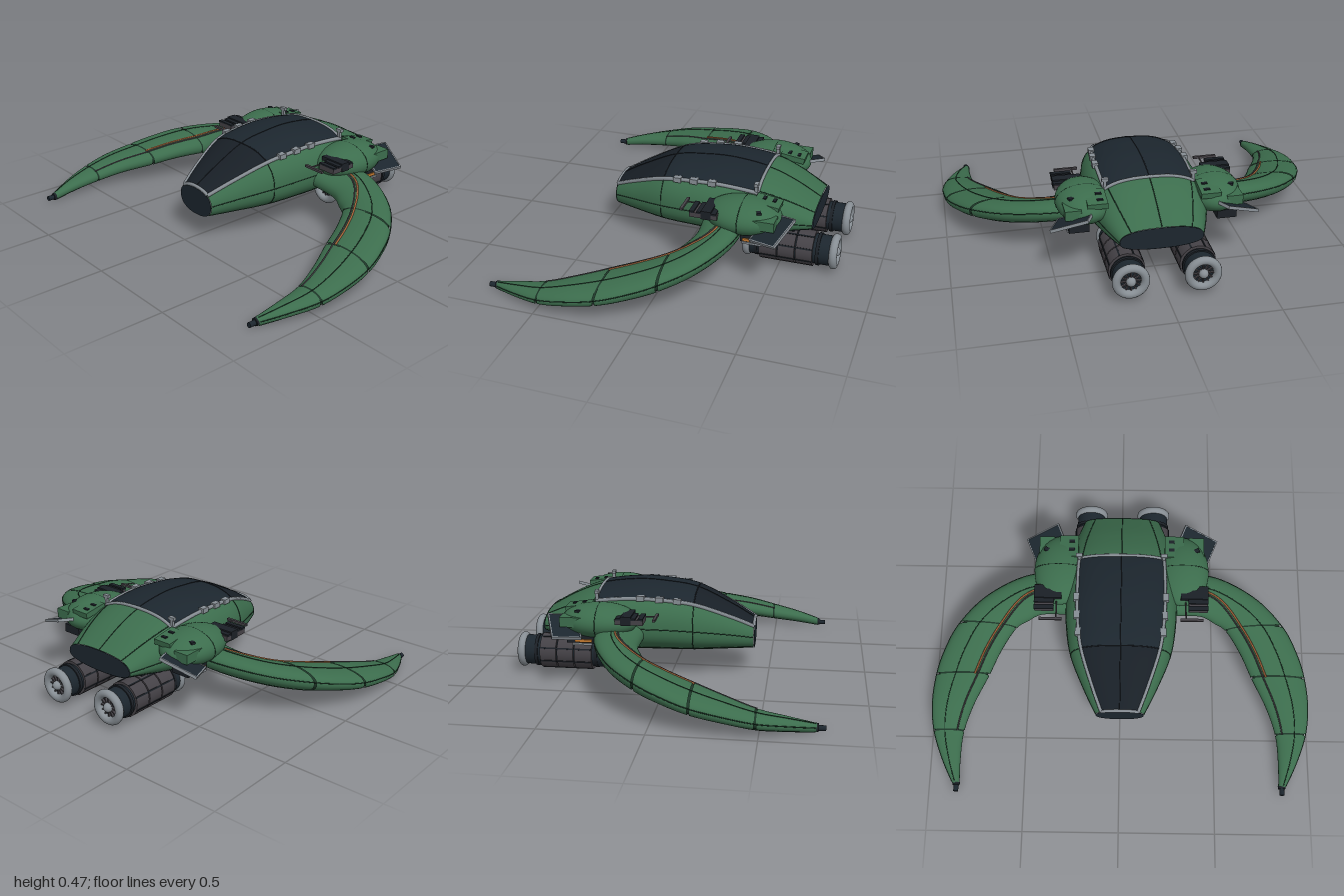
import * as THREE from 'three';
import { ParametricGeometry } from 'three/addons/geometries/ParametricGeometry.js';

const mat = (name, color, side = THREE.FrontSide) => {
  const m = new THREE.MeshStandardMaterial({ color, side });
  m.name = name;
  return m;
};
const M = {
  green: mat('hull green', 0x3c6d4d),
  line: mat('seam dark green', 0x1c3527),
  glass: mat('canopy glass', 0x1c262e, THREE.DoubleSide),
  frontGlass: mat('windscreen glass', 0x181f26, THREE.DoubleSide),
  grey: mat('frame grey', 0x878e94),
  black: mat('mechanical black', 0x1b2026),
  brown: mat('engine brown grey', 0x454247),
  orange: mat('conduit orange', 0xc47a30),
  copper: mat('stripe copper', 0xa0623a),
};

// Catmull-Rom sampling of a table of stations, t in 0..1
function sample(table, t) {
  const n = table.length - 1, f = Math.min(Math.max(t, 0), 1) * n;
  const i = Math.min(Math.floor(f), n - 1), u = f - i;
  const at = (k) => table[Math.min(Math.max(k, 0), n)];
  return table[0].map((_, c) => {
    const a = at(i - 1)[c], b = at(i)[c], d = at(i + 1)[c], e = at(i + 2)[c];
    return b + 0.5 * u * (d - a + u * (2 * a - 5 * b + 4 * d - e + u * (3 * (b - d) + e - a)));
  });
}
const spow = (v, p) => Math.sign(v) * Math.abs(v) ** p;
const lerp = THREE.MathUtils.lerp;

// Hull stations: z, half width, top, widest height, bottom
const HULL = [
  [0.42, 0.125, 0.28, 0.205, 0.13], [0.3, 0.187, 0.35, 0.23, 0.128],
  [0.12, 0.262, 0.435, 0.255, 0.125], [-0.05, 0.29, 0.462, 0.265, 0.125],
  [-0.2, 0.295, 0.467, 0.265, 0.125], [-0.38, 0.288, 0.443, 0.265, 0.14],
  [-0.52, 0.255, 0.392, 0.26, 0.175], [-0.66, 0.205, 0.315, 0.25, 0.205],
];
// Rounder at nose and belly, squarer over the shoulders
function hullPoint(t, a, off = 0) {
  const [z, w, top, mid, bot] = sample(HULL, t), s = Math.sin(a);
  const p = s > 0 ? lerp(0.86, 0.78, THREE.MathUtils.smoothstep(t, 0, 0.35)) : 0.86;
  return new THREE.Vector3((w + off) * spow(Math.cos(a), p),
    mid + ((s > 0 ? top - mid : mid - bot) + off) * spow(s, p), z);
}

// Wing stations: outer x, outer z, inner x, inner z, outer y, inner y, half thickness
const WING = [
  [0.26, -0.35, 0.26, -0.12, 0.27, 0.25, 0.06], [0.5, -0.335, 0.42, -0.13, 0.262, 0.225, 0.06],
  [0.72, -0.23, 0.5, -0.1, 0.228, 0.2, 0.06], [0.87, -0.08, 0.565, -0.06, 0.19, 0.185, 0.06],
  [0.945, 0.06, 0.64, 0.06, 0.155, 0.162, 0.056], [0.985, 0.19, 0.7, 0.19, 0.125, 0.135, 0.052],
  [1.0, 0.34, 0.775, 0.34, 0.1, 0.105, 0.046], [0.985, 0.485, 0.825, 0.485, 0.072, 0.072, 0.039],
  [0.935, 0.63, 0.838, 0.63, 0.05, 0.05, 0.03], [0.875, 0.755, 0.838, 0.755, 0.028, 0.028, 0.02],
];
function wingPoint(t, a, side, k = 1) {
  const [ox, oz, ix, iz, oy, iy, h] = sample(WING, t);
  const f = 0.5 + 0.5 * k * Math.cos(a);
  return new THREE.Vector3(side * lerp(ix, ox, f),
    lerp(iy, oy, f) + k * h * spow(Math.sin(a), 0.85), lerp(iz, oz, f));
}

export function createModel() {
  const model = new THREE.Group();
  const add = (name, geo, material, x = 0, y = 0, z = 0) => {
    const m = new THREE.Mesh(geo, material);
    m.name = name;
    m.position.set(x, y, z);
    model.add(m);
    return m;
  };
  const box = (name, w, h, d, material, x, y, z) => add(name, new THREE.BoxGeometry(w, h, d), material, x, y, z);
  const cyl = (name, r0, r1, len, material, x, y, z, seg = 24) =>
    add(name, new THREE.CylinderGeometry(r0, r1, len, seg).rotateX(Math.PI / 2), material, x, y, z);
  const surface = (name, f, nu, nv, material) =>
    add(name, new ParametricGeometry((u, v, p) => p.copy(f(u, v)), nu, nv), material);
  // Tube along a surface rule f(0..1)
  const strip = (name, f, r, material, n = 24) => {
    const pts = Array.from({ length: n + 1 }, (_, i) => f(i / n));
    return add(name, new THREE.TubeGeometry(new THREE.CatmullRomCurve3(pts), n * 2, r, 6), material);
  };
  const hullPatch = (name, t0, t1, a0, a1, off, material, nu = 24, nv = 28) =>
    surface(name, (u, v) => hullPoint(lerp(t0, t1, v), lerp(a0, a1, u), off), nu, nv, material);

  // Hull shell with flat end caps
  hullPatch('hull', 0, 1, 1.5 * Math.PI, -0.5 * Math.PI, 0, M.green, 64, 48);
  for (const [name, t, dz] of [['noseWindow', 0, 0.003], ['rearCap', 1, -0.003]]) {
    const pts = Array.from({ length: 48 }, (_, i) => {
      const p = hullPoint(t, i * Math.PI / 24);
      return new THREE.Vector2(p.x, p.y);
    });
    add(name, new THREE.ShapeGeometry(new THREE.Shape(pts)), M.glass, 0, 0, HULL[t * 7][0] + dz);
  }
  hullPatch('rearUnderside', 0.8, 1, -0.45, -Math.PI + 0.45, 0.003, M.glass);
  hullPatch('bellyPanel', 0.46, 0.72, -1.15, -Math.PI + 1.15, 0.004, M.brown);

  // Canopy glass and its frame
  const A = 0.78, B = Math.PI - A, T = 5 / 7, R = 2 / 7;
  hullPatch('windscreen', 0, R, B, A, 0.004, M.frontGlass, 28, 14);
  hullPatch('canopy', R, T, B, A, 0.004, M.glass, 28, 20);
  for (const a of [A, B]) strip('canopySideFrame', (u) => hullPoint(u * T, a, 0.003), 0.01, M.grey);
  for (const t of [0, T]) strip('canopyEndFrame', (u) => hullPoint(t, lerp(A, B, u), 0.003), 0.009, M.grey);
  strip('canopyRib', (u) => hullPoint(R, lerp(A, B, u), 0.004), 0.003, M.black);
  strip('canopySpine', (u) => hullPoint(u * T, Math.PI / 2, 0.004), 0.0025, M.black);

  // Hull panel seams
  strip('rearSpineSeam', (u) => hullPoint(lerp(T, 1, u), Math.PI / 2), 0.0025, M.line);
  for (const a of [0.03, -0.7, -1.57, -2.44, 3.11])
    strip('hullLengthSeam', (u) => hullPoint(u, a), 0.0025, M.line);
  for (const t of [R, T])
    strip('hullRingSeam', (u) => hullPoint(t, lerp(A, B - 2 * Math.PI, u)), 0.0025, M.line, 36);
  for (const a of [0.85, 2.29])
    strip('rearShoulderSeam', (u) => hullPoint(lerp(T, 1, u), a), 0.0025, M.line);

  for (const s of [1, -1]) {
    // Wing: dark core showing through gaps between four shells
    const wing = (name, t0, t1, k, material) => surface(name,
      (u, v) => wingPoint(lerp(t0, t1, v), s * u * 2 * Math.PI, s, k), 36, 14, material);
    wing('wingCore', 0, 1, 0.93, M.line);
    [[0, 3], [3, 5], [5, 7], [7, 9]].forEach(([a, b]) =>
      wing('wingShell', a / 9 + 0.0035, b / 9 - (b < 9 ? 0.0035 : 0), 1, M.green));
    for (const a of [0.12, 1.35, -1.05, -2.1])
      strip('wingSeam', (u) => wingPoint(lerp(0.02, 0.99, u), a, s), 0.0025, M.line, 36);

    // Inlaid stripes following the inner edge of the wing
    const stripe = (name, t0, t1, da, r, m) => strip(name, (u) => {
      const t = lerp(t0, t1, u);
      return wingPoint(t, lerp(1.5, 2.1, THREE.MathUtils.smoothstep(t, 0.06, 0.36)) + da, s);
    }, r, m, 30);
    stripe('wingStripe', 0.1, 0.56, 0, 0.0055, M.copper);
    stripe('wingConduit', 0.1, 0.78, 0.13, 0.004, M.brown);

    cyl('wingTipCollar', 0.019, 0.021, 0.012, M.black, s * 0.856, 0.028, 0.757, 16);
    cyl('wingTipGun', 0.013, 0.013, 0.04, M.glass, s * 0.856, 0.026, 0.776, 12);

    // Engine nacelle
    const ex = s * 0.175, ey = 0.113;
    cyl('engineCore', 0.077, 0.077, 0.43, M.glass, ex, ey, -0.555, 32);
    for (const [z, len] of [[-0.45, 0.09], [-0.544, 0.084], [-0.635, 0.084]])
      cyl('engineBand', 0.09, 0.09, len, M.brown, ex, ey, z, 24);
    for (let i = 0; i < 8; i++) {
      const a = (i + 0.5) * Math.PI / 4;
      const rib = box('engineRib', 0.008, 0.008, 0.27, M.black,
        ex + 0.088 * Math.cos(a), ey + 0.088 * Math.sin(a), -0.542);
      rib.rotation.z = a;
    }
    cyl('engineRearCollar', 0.084, 0.084, 0.016, M.black, ex, ey, -0.7, 32);
    cyl('engineFrontCollar', 0.08, 0.08, 0.016, M.black, ex, ey, -0.385, 32);
    for (const [z, d, r] of [[-0.333, 1, 0.067], [-0.779, -1, 0.07]]) {
      add('engineRing', new THREE.TorusGeometry(r, 0.021, 14, 36), M.grey, ex, ey, z);
      for (let i = 0; i < 12; i++) {
        const a = i * Math.PI / 6;
        const blade = box('fanBlade', 0.05, 0.006, 0.012, M.brown,
          ex + 0.04 * Math.cos(a), ey + 0.04 * Math.sin(a), z - d * 0.003);
        blade.rotation.z = a;
      }
      add('fanHub', new THREE.SphereGeometry(0.024, 18, 12), d > 0 ? M.black : M.grey, ex, ey, z + d * 0.004);
    }
    box('enginePylon', 0.06, 0.08, 0.18, M.black, s * 0.165, 0.2, -0.48);

    // Shoulder pod over the wing root
    add('shoulderPod', new THREE.SphereGeometry(1, 36, 24).scale(0.14, 0.088, 0.195), M.green, s * 0.325, 0.332, -0.34);
    const ring = new THREE.TorusGeometry(1, 0.018, 6, 48).scale(0.139, 0.087, 0.139);
    add('podSeam', ring, M.line, s * 0.325, 0.332, -0.34);
    box('podHatch', 0.1, 0.03, 0.13, M.green, s * 0.28, 0.388, -0.45).rotation.x = -0.15;
    for (const z of [-0.43, -0.48])
      box('podHatchInset', 0.03, 0.006, 0.016, M.black, s * 0.265, 0.405 + (z + 0.45) * 0.15, z);
    box('podVent', 0.045, 0.01, 0.022, M.black, s * 0.39, 0.394, -0.43).rotation.y = s * 0.4;
    box('podSidePanel', 0.08, 0.05, 0.18, M.green, s * 0.4, 0.345, -0.43);

    // Forward louvred intake and sensor bar
    box('louvreBlock', 0.1, 0.026, 0.14, M.brown, s * 0.405, 0.36, -0.17);
    for (let i = 0; i < 4; i++)
      box('louvreSlat', 0.105, 0.01, 0.024, M.black, s * 0.405, 0.376, -0.112 - i * 0.037);
    box('louvreMouth', 0.145, 0.044, 0.05, M.black, s * 0.385, 0.366, -0.185);
    box('sensorBar', 0.12, 0.012, 0.014, M.brown, s * 0.37, 0.365, -0.05);
    cyl('sensorArm', 0.004, 0.004, 0.1, M.brown, s * 0.34, 0.362, -0.1, 8);

    // Rear flap sloping outward and down, with thin grey edging
    const flap = new THREE.Group();
    flap.name = 'rearFlap';
    flap.position.set(s * 0.402, 0.312, -0.505);
    flap.rotation.set(0.1, -s * 0.39, -s * 0.36, 'YXZ');
    model.add(flap);
    const part = (name, w, h, d, m, x, y, z) => flap.add(box(name, w, h, d, m, x, y, z));
    part('flapPlate', 0.19, 0.012, 0.14, M.glass, 0, 0, 0);
    for (const e of [1, -1]) {
      part('flapSideEdge', 0.006, 0.016, 0.146, M.grey, e * 0.096, 0, 0);
      part('flapEndEdge', 0.196, 0.016, 0.006, M.grey, 0, 0, e * 0.071);
    }

    // Machinery under the flap
    box('flapMachinery', 0.1, 0.045, 0.14, M.black, s * 0.37, 0.257, -0.42);
    box('flapConduit', 0.014, 0.014, 0.085, M.orange, s * 0.42, 0.248, -0.405);
    box('flapPipe', 0.012, 0.01, 0.1, M.grey, s * 0.42, 0.231, -0.41);

    // Canopy clamps and rear posts
    for (const t of [0.353, 0.43, 0.524]) {
      const p = hullPoint(t, A, 0.008);
      box('canopyClamp', 0.03, 0.026, 0.04, M.grey, s * p.x, p.y, p.z);
    }
    box('canopyPost', 0.016, 0.05, 0.016, M.grey, s * 0.222, 0.425, -0.375);
    box('canopyPostCap', 0.034, 0.016, 0.02, M.grey, s * 0.222, 0.45, -0.375);
  }
  return model;
}
